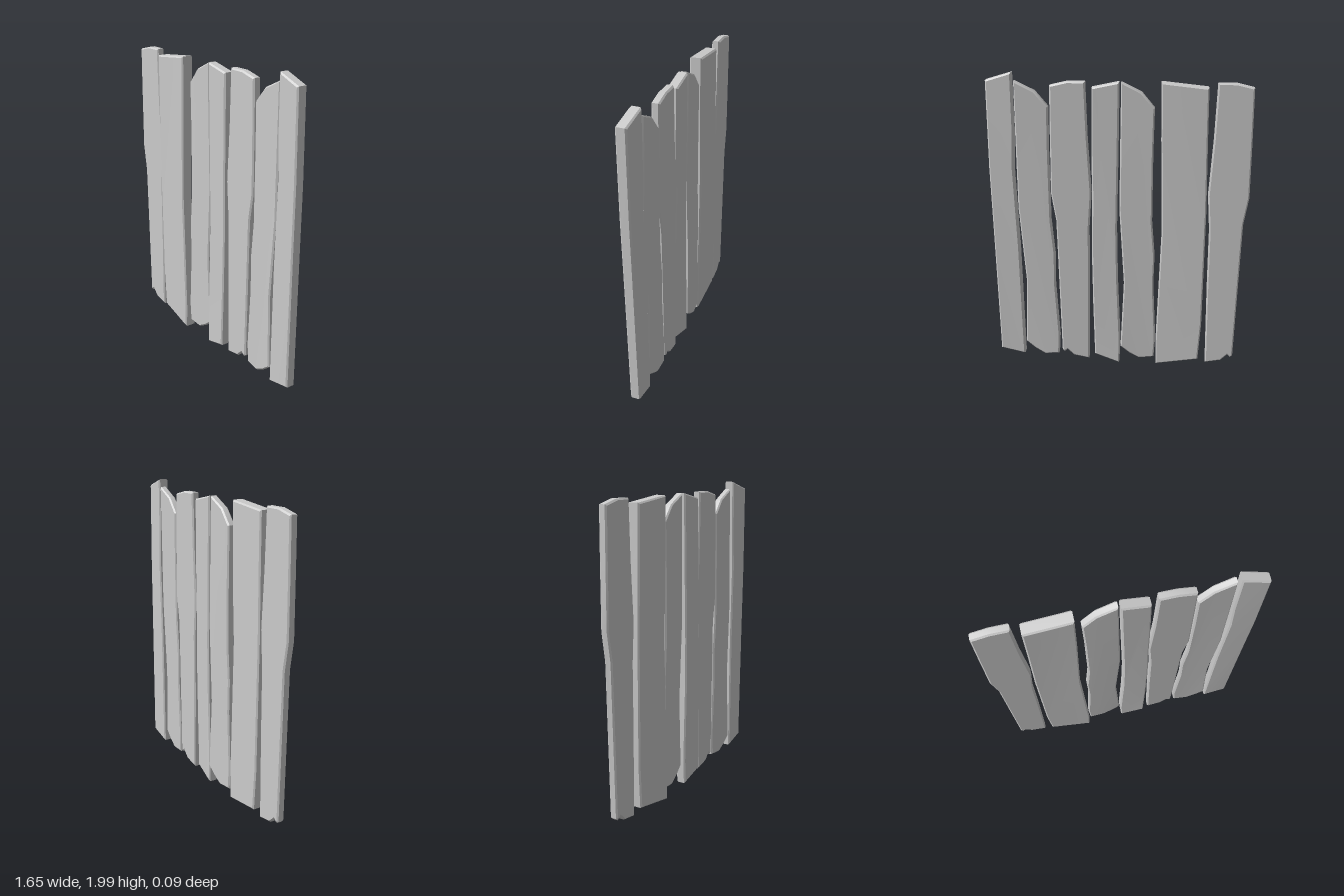
import * as THREE from 'three';
import { toCreasedNormals } from 'three/addons/utils/BufferGeometryUtils.js';

const BEVEL = 0.009;

// Plank outlines, clockwise from the upper -x corner
const notched = [
  [-0.817, 1.92], [-0.71, 1.945], [-0.60, 1.945], [-0.59, 1.6], [-0.57, 1.24], [-0.587, 1.0], [-0.59, 0.6],
  [-0.60, 0.03], [-0.706, 0.05], [-0.75, 0.095], [-0.77, 0.075], [-0.785, 0.09], [-0.80, 1.05], [-0.828, 1.23], [-0.823, 1.6],
];
const wide = [
  [-0.548, 1.915], [-0.262, 1.945], [-0.267, 1.6], [-0.283, 1.0], [-0.272, 0.65], [-0.257, 0.17],
  [-0.262, 0.005], [-0.548, 0.06], [-0.563, 0.33], [-0.563, 1.13], [-0.553, 1.6],
];
const curved = [
  [-0.225, 1.79], [-0.145, 1.885], [-0.02, 1.945], [-0.015, 1.6], [-0.01, 1.13], [-0.04, 0.62], [-0.018, 0.14],
  [-0.077, 0.09], [-0.145, 0.05], [-0.246, 0.06], [-0.255, 0.2], [-0.235, 0.6], [-0.24, 0.81], [-0.22, 1.05], [-0.22, 1.5],
];
const narrow = [
  [-0.008, 1.945], [0.16, 1.91], [0.165, 1.5], [0.165, 1.2], [0.172, 0.86], [0.168, 0.44],
  [0.16, 0.06], [-0.008, 0.005], [-0.015, 0.17], [0.003, 0.65], [0.008, 1.0], [-0.003, 1.6],
];
const tall = [
  [0.648, 1.995], [0.812, 1.945], [0.82, 1.39], [0.817, 1.02], [0.812, 0.09],
  [0.648, 0.053], [0.65, 0.86], [0.663, 1.4], [0.65, 1.65],
];

// shift: z offsets of the corners [top -x, top +x, bottom -x, bottom +x], for a slight warp
const planks = [
  { name: 'notchedPlankRight', outline: notched, back: -0.036, front: 0.016, shift: [0, 0, 0, 0] },
  { name: 'widePlank', outline: wide, back: -0.035, front: 0.045, shift: [0, 0, -0.016, 0] },
  { name: 'curvedPlankRight', outline: curved, back: -0.036, front: 0.015, shift: [0, 0, 0, -0.014] },
  { name: 'narrowPlank', outline: narrow, back: -0.04, front: 0.026, shift: [0, 0, 0, 0.016] },
  { name: 'notchedPlankLeft', outline: notched.map(([x, y]) => [-x - 0.4, y]), back: -0.036, front: 0.016, shift: [0, 0, 0, 0] },
  { name: 'curvedPlankLeft', outline: curved.map(([x, y]) => [x + 0.655, y]), back: -0.036, front: 0.013, shift: [0, 0, 0, 0.016] },
  { name: 'tallPlank', outline: tall, back: -0.037, front: 0.03, shift: [0, 0.016, 0, 0] },
];

function plankGeometry({ outline, back, front, shift }) {
  const shape = new THREE.Shape(outline.map(([x, y]) => new THREE.Vector2(x, y)));
  const geo = new THREE.ExtrudeGeometry(shape, {
    depth: front - back - 2 * BEVEL,
    bevelEnabled: true,
    bevelThickness: BEVEL,
    bevelSize: BEVEL,
    bevelOffset: -BEVEL,
    bevelSegments: 1,
  });
  geo.translate(0, 0, back + BEVEL);

  // Warp the board by blending the corner offsets
  geo.computeBoundingBox();
  const { min, max } = geo.boundingBox;
  const pos = geo.attributes.position;
  const lerp = THREE.MathUtils.lerp;
  for (let i = 0; i < pos.count; i++) {
    const u = (pos.getX(i) - min.x) / (max.x - min.x);
    const v = (pos.getY(i) - min.y) / (max.y - min.y);
    const dz = lerp(lerp(shift[2], shift[3], u), lerp(shift[0], shift[1], u), v);
    pos.setZ(i, pos.getZ(i) + dz);
  }
  return toCreasedNormals(geo, 0.5);
}

export function createModel() {
  const group = new THREE.Group();
  group.name = 'plankWall';
  const material = new THREE.MeshStandardMaterial({ color: 0xcccccc });
  for (const plank of planks) {
    const mesh = new THREE.Mesh(plankGeometry(plank), material);
    mesh.name = plank.name;
    group.add(mesh);
  }
  return group;
}
